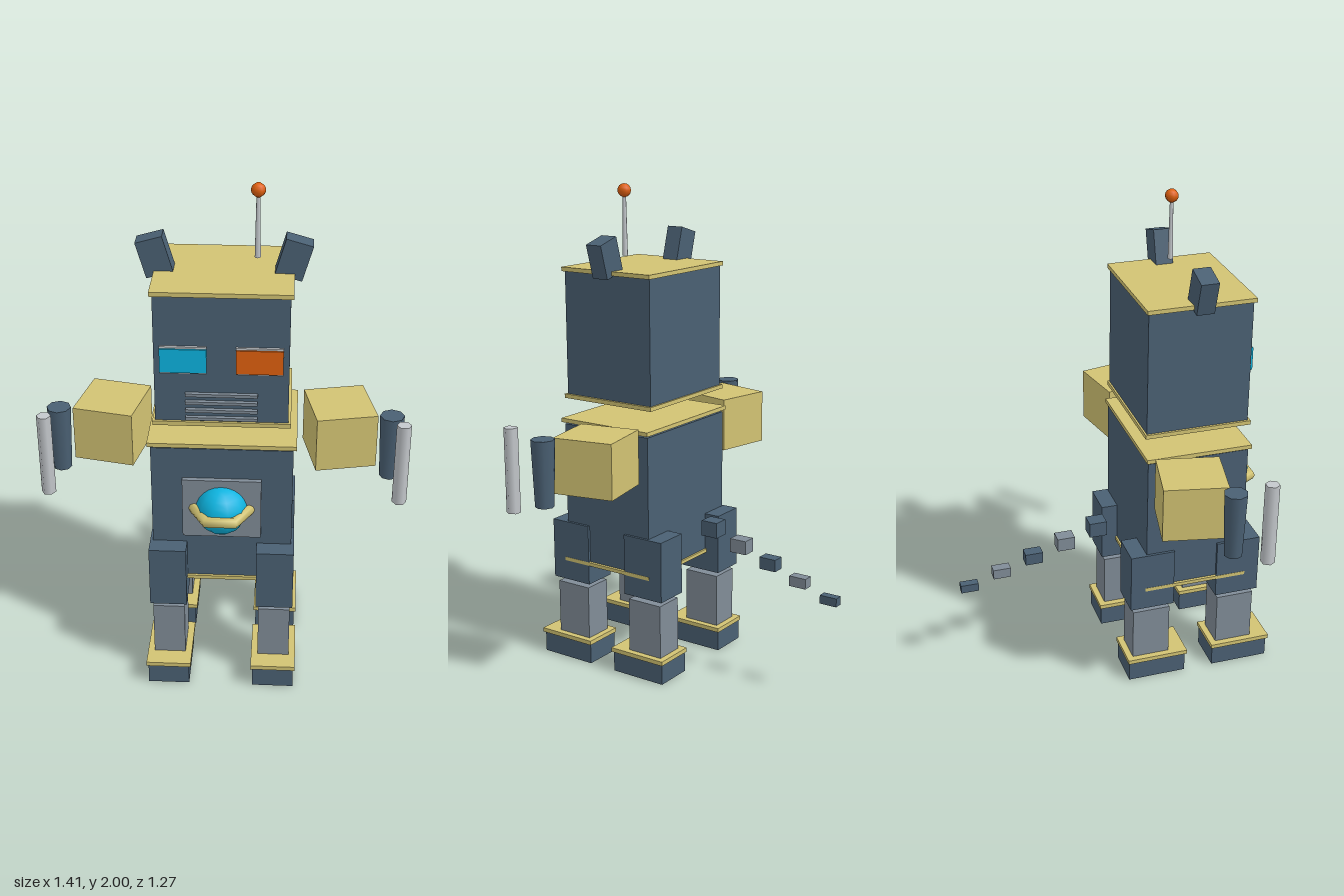
import * as THREE from 'three';

const mat = (color) => new THREE.MeshStandardMaterial({ color });

export function createModel() {
  const robot = new THREE.Group();
  robot.name = 'robot';

  const navy = mat(0x4a6073), gold = mat(0xd2c373), grey = mat(0x808c97);
  const silver = mat(0xc4c8cc), cyan = mat(0x0cb4e0), orange = mat(0xe0600f);

  const add = (name, geometry, material, x, y, z) => {
    const mesh = new THREE.Mesh(geometry, material);
    mesh.name = name;
    mesh.position.set(x, y, z);
    robot.add(mesh);
    return mesh;
  };
  // Box given by its min and max on each axis
  const box = (name, material, [x0, x1], [y0, y1], [z0, z1]) =>
    add(name, new THREE.BoxGeometry(x1 - x0, y1 - y0, z1 - z0), material,
      (x0 + x1) / 2, (y0 + y1) / 2, (z0 + z1) / 2);

  // Head and trunk, each trimmed with thin plates
  const depth = [0.0875, 0.507], plateDepth = [0.08, 0.517];
  box('head', navy, [-0.245, 0.245], [1.15, 1.653], depth);
  box('headTopPlate', gold, [-0.255, 0.255], [1.653, 1.67], plateDepth);
  box('headBottomPlate', gold, [-0.255, 0.255], [1.133, 1.15], plateDepth);
  box('body', navy, [-0.268, 0.268], [0.45, 1.028], depth);
  box('bodyTopPlate', gold, [-0.28, 0.28], [1.036, 1.053], plateDepth);
  box('bodyBottomPlate', gold, [-0.28, 0.28], [0.435, 0.45], plateDepth);

  // Eyes in silver frames
  [[-1, cyan], [1, orange]].forEach(([s, color]) => {
    const x = s * 0.138;
    box('eyeFrame', silver, [x - 0.085, x + 0.085], [1.35, 1.458], [0.5, 0.517]);
    box('eye', color, [x - 0.085, x + 0.085], [1.357, 1.451], [0.505, 0.524]);
  });

  // Mouth grille
  for (let i = 0; i < 4; i++) {
    const y = 1.166 + i * 0.0327;
    box('mouthBar', grey, [-0.132, 0.132], [y - 0.006, y + 0.006], [0.5, 0.523]);
  }

  // Antenna
  add('antennaRod', new THREE.CylinderGeometry(0.007, 0.011, 0.24, 8), silver, 0.12, 1.837, 0.298);
  add('antennaBall', new THREE.SphereGeometry(0.027, 6, 8), orange, 0.12, 1.973, 0.298);

  // Chest panel with ringed globe
  box('chestPanel', grey, [-0.15, 0.15], [0.647, 0.9], [0.5, 0.526]);
  add('chestGlobe', new THREE.SphereGeometry(0.098, 10, 12), cyan, 0, 0.774, 0.525);
  add('globeRing', new THREE.TorusGeometry(0.105, 0.022, 8, 6), gold, 0, 0.774, 0.525)
    .rotation.x = Math.PI / 2;

  // Paired parts
  for (const s of [-1, 1]) {
    const ear = add('ear', new THREE.BoxGeometry(0.102, 0.141, 0.072), navy, s * 0.252, 1.722, 0.298);
    ear.rotation.z = -s * 0.28;

    const arm = add('arm', new THREE.BoxGeometry(0.239, 0.223, 0.25), gold, s * 0.447, 0.957, 0.202);
    arm.rotation.y = s * 0.205;
    add('hand', new THREE.CylinderGeometry(0.047, 0.037, 0.268, 8), navy, s * 0.642, 0.941, 0.303);
    const rod = add('handRod', new THREE.CylinderGeometry(0.028, 0.028, 0.34, 6), silver,
      s * 0.677, 0.94, 0.432);
    rod.rotation.y = Math.PI / 6;

    // Front and back legs
    for (const z of [0.484, 0.112]) {
      const x = s * 0.207;
      const part = (name, material, w, y, front, back) =>
        box(name, material, [x - w, x + w], y, [z - back, z + front]);
      part('thigh', navy, 0.072, [0.352, 0.607], 0.093, 0.093);
      part('shin', grey, 0.062, [0.1, 0.33], 0.079, 0.079);
      part('footPlate', gold, 0.088, [0.086, 0.104], 0.155, 0.105);
      part('foot', navy, 0.081, [0, 0.086], 0.147, 0.1);
    }
  }

  // Tail of shrinking, separate blocks
  for (let i = 0; i < 5; i++) {
    const w = 0.065 - i * 0.0075;
    add('tailBlock', new THREE.BoxGeometry(w, w, 0.074), i % 2 ? grey : navy,
      0, 0.609 - i * 0.0487, -0.047 - i * 0.138);
  }

  return robot;
}
